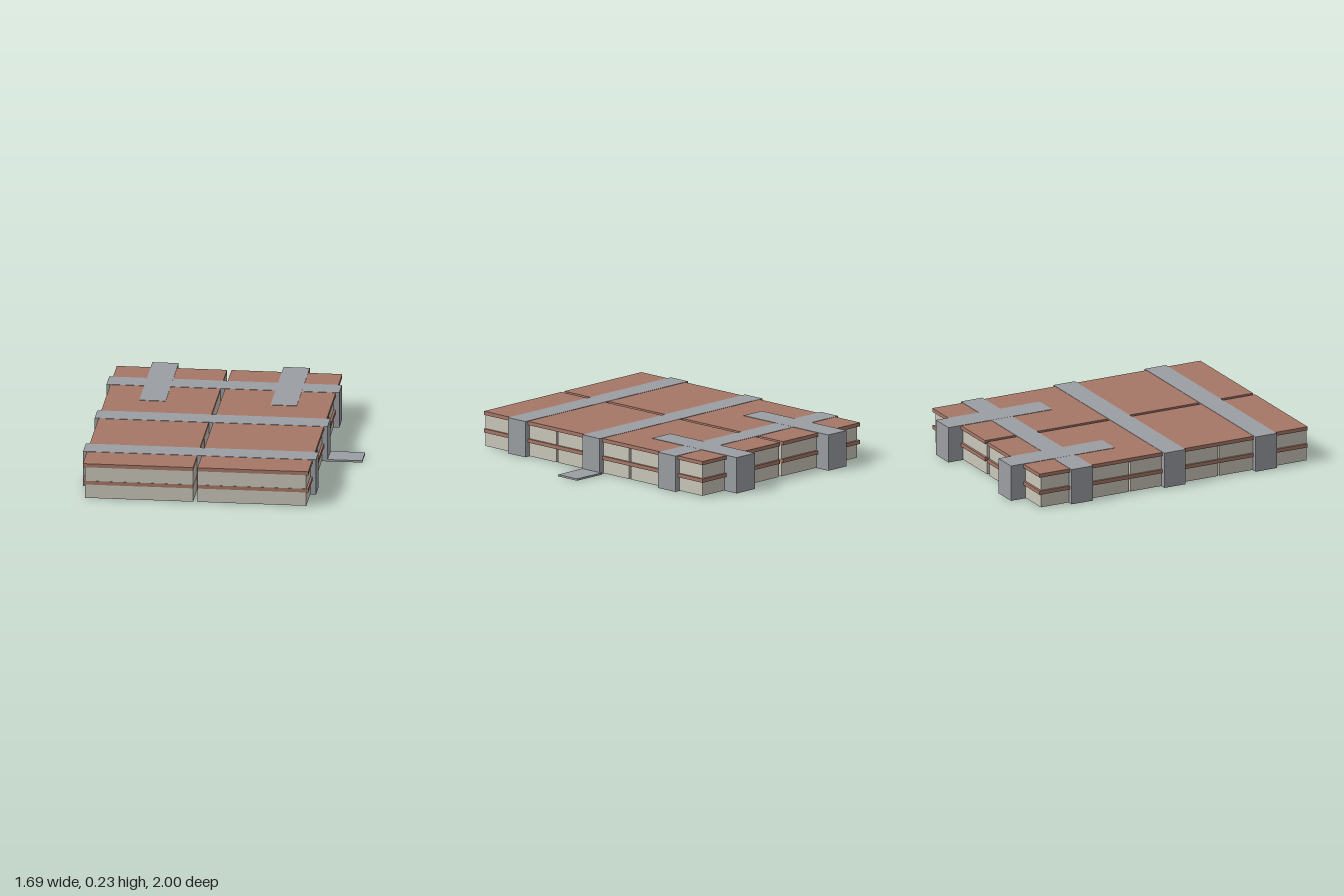
import * as THREE from 'three';

export function createModel() {
  const model = new THREE.Group();
  model.name = 'strappedCrates';

  const mat = (name, color) => {
    const m = new THREE.MeshStandardMaterial({ color });
    m.name = name;
    return m;
  };
  const brown = mat('lidBrown', 0xa67767);
  const cream = mat('boxCream', 0xcac6ba);
  const grey = mat('strapGrey', 0x9b9ea2);

  // Box given by its limits on each axis
  const block = (name, material, [x0, x1], [y0, y1], [z0, z1]) => {
    const mesh = new THREE.Mesh(new THREE.BoxGeometry(x1 - x0, y1 - y0, z1 - z0), material);
    mesh.position.set((x0 + x1) / 2, (y0 + y1) / 2, (z0 + z1) / 2);
    mesh.name = name;
    model.add(mesh);
  };

  // Two columns and two layers: three boxes in a row under one long lid
  const columns = [
    { lid: [-0.822, -0.125], box: [-0.81, -0.125] },
    { lid: [-0.097, 0.603], box: [-0.097, 0.59] },
  ];
  const layers = [
    { box: [0.002, 0.091], lid: [0.091, 0.115] },
    { box: [0.115, 0.205], lid: [0.205, 0.229] },
  ];
  const rows = [[0.38, 0.998], [-0.257, 0.366], [-0.895, -0.272]];
  for (const column of columns) {
    for (const layer of layers) {
      for (const row of rows) block('box', cream, column.box, layer.box, row);
      block('lid', brown, column.lid, layer.lid, [-0.91, 1]);
    }
  }

  // Solid bands across the stack
  for (const z of [[-0.695, -0.543], [-0.034, 0.118], [0.616, 0.768]]) {
    block('crossStrap', grey, [-0.846, 0.626], [0, 0.231], z);
  }

  // Shorter bands wrapped over the back row
  for (const x of [[-0.607, -0.441], [0.222, 0.388]]) {
    block('backStrap', grey, x, [0, 0.2315], [-1, -0.26]);
  }

  // Loose strap end lying on the ground
  block('strapTail', grey, [0.62, 0.845], [0, 0.012], [-0.047, 0.118]);

  return model;
}
